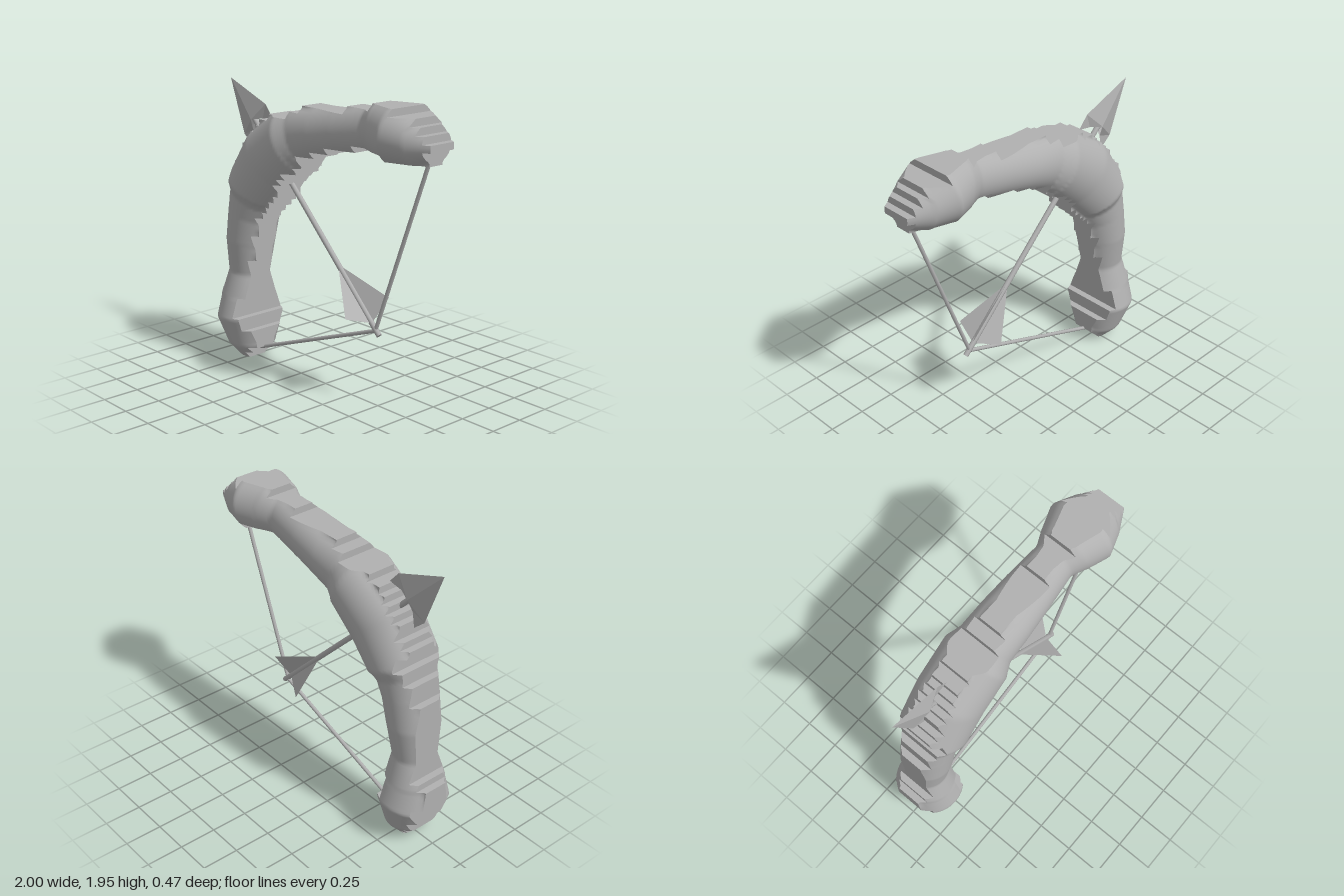
import * as THREE from 'three';

const CELL = 2 / 44, SUB = 3;

// Stepped outline of the bow: first and last cell of each row, bottom to top
const LEFT = [4, 3, 2, 2, 1, 1, 1, 0, 0, 0, 1, 2, 2, 2, 2, 2, 2, 2, 2, 2, 2, 2, 2, 3, 3, 3, 4, 4, 5, 5, 4, 5, 6, 6, 7, 8, 9, 10, 12, 17, 19, 28, 33];
const RIGHT = [6, 7, 8, 8, 8, 7, 7, 6, 6, 6, 7, 7, 7, 7, 7, 7, 8, 8, 8, 8, 9, 9, 9, 10, 11, 12, 13, 14, 14, 15, 16, 18, 19, 19, 22, 25, 30, 43, 44, 43, 42, 41, 38];
const inBow = (c, r) => (r >= 0 && r < LEFT.length && c >= LEFT[r] && c < RIGHT[r]) || (r === 36 && c >= 37 && c < 43);

// Centre line of the bow: x, y, half depth, half width
const SPINE = [
  [-0.78, 0, 0.08, 0.08], [-0.78, 0.1, 0.17, 0.13], [-0.8, 0.3, 0.235, 0.19], [-0.81, 0.45, 0.19, 0.16],
  [-0.8, 0.62, 0.14, 0.12], [-0.78, 0.85, 0.17, 0.14], [-0.74, 1.05, 0.175, 0.15], [-0.7, 1.17, 0.18, 0.17],
  [-0.67, 1.24, 0.22, 0.19], [-0.5, 1.45, 0.22, 0.21], [-0.27, 1.62, 0.22, 0.19], [-0.18, 1.66, 0.18, 0.17],
  [0, 1.7, 0.175, 0.15], [0.2, 1.74, 0.16, 0.14], [0.45, 1.78, 0.135, 0.13], [0.55, 1.79, 0.18, 0.16],
  [0.7, 1.79, 0.235, 0.17], [0.85, 1.76, 0.18, 0.13], [1, 1.75, 0.1, 0.07],
];

// Half depth of the bow at a point, rounded across its width
function depthAt(x, y) {
  let best = Infinity, depth = 0;
  for (let i = 0; i < SPINE.length - 1; i++) {
    const a = SPINE[i], b = SPINE[i + 1];
    const dx = b[0] - a[0], dy = b[1] - a[1];
    const t = THREE.MathUtils.clamp(((x - a[0]) * dx + (y - a[1]) * dy) / (dx * dx + dy * dy), 0, 1);
    const d = Math.hypot(x - a[0] - dx * t, y - a[1] - dy * t);
    if (d < best) {
      best = d;
      const half = a[2] + (b[2] - a[2]) * t, width = a[3] + (b[3] - a[3]) * t;
      depth = half * Math.sqrt(Math.max(0.2, 1 - 0.7 * (d / width) ** 2));
    }
  }
  return depth;
}

function makeGeometry(positions, index) {
  const g = new THREE.BufferGeometry();
  g.setAttribute('position', new THREE.Float32BufferAttribute(positions, 3));
  if (index) g.setIndex(index);
  g.computeVertexNormals();
  return g;
}

// Point on the fine grid, in model units
const gridPoint = (i, j, side) => {
  const x = -1 + (i * CELL) / SUB, y = (j * CELL) / SUB;
  return [x, y, side * depthAt(x, y)];
};

// Domed face of the bow, front (side 1) or back (side -1)
function bowFace(side) {
  const pos = [], index = [], ids = new Map();
  const id = (i, j) => {
    const key = i * 1000 + j;
    if (!ids.has(key)) {
      ids.set(key, pos.length / 3);
      pos.push(...gridPoint(i, j, side));
    }
    return ids.get(key);
  };
  for (let j = 0; j < LEFT.length * SUB; j++) {
    for (let i = 0; i < 44 * SUB; i++) {
      if (!inBow(Math.floor(i / SUB), Math.floor(j / SUB))) continue;
      const a = id(i, j), b = id(i + 1, j), c = id(i + 1, j + 1), d = id(i, j + 1);
      if (side > 0) index.push(a, b, c, a, c, d);
      else index.push(a, c, b, a, d, c);
    }
  }
  return makeGeometry(pos, index);
}

// Stepped walls joining the two faces
function bowWalls() {
  const pos = [];
  const wall = (i0, j0, i1, j1) => {
    for (let k = 0; k < SUB; k++) {
      const p = (n, side) => gridPoint(i0 * SUB + (i1 - i0) * n, j0 * SUB + (j1 - j0) * n, side);
      const a = p(k, 1), b = p(k, -1), c = p(k + 1, -1), d = p(k + 1, 1);
      pos.push(...a, ...b, ...c, ...a, ...c, ...d);
    }
  };
  for (let r = 0; r < LEFT.length; r++) {
    for (let c = 0; c < 44; c++) {
      if (!inBow(c, r)) continue;
      if (!inBow(c, r - 1)) wall(c, r, c + 1, r);
      if (!inBow(c + 1, r)) wall(c + 1, r, c + 1, r + 1);
      if (!inBow(c, r + 1)) wall(c + 1, r + 1, c, r + 1);
      if (!inBow(c - 1, r)) wall(c, r + 1, c, r);
    }
  }
  return makeGeometry(pos);
}

// Pointed head with swept barbs; +y runs from the tip towards the tail
function arrowheadGeometry() {
  const pos = [];
  const tip = [0, 0, 0];
  for (const s of [1, -1]) {
    const edge = [s * 0.163, 0.36, 0], barb = [s * 0.155, 0.47, 0], notch = [s * 0.07, 0.41, 0];
    for (const f of [1, -1]) {
      const ridge = [0, 0.36, f * 0.035];
      const tris = [[tip, edge, ridge], [ridge, edge, notch], [edge, barb, notch]];
      for (const [a, b, c] of tris) pos.push(...(s * f < 0 ? [a, b, c] : [a, c, b]).flat());
    }
  }
  return makeGeometry(pos);
}

export function createModel() {
  const group = new THREE.Group();
  const grey = new THREE.MeshStandardMaterial({ color: 0xb0b0b0, side: THREE.DoubleSide });
  grey.name = 'plain grey';

  const add = (name, geometry, parent = group) => {
    const mesh = new THREE.Mesh(geometry, grey);
    mesh.name = name;
    parent.add(mesh);
    return mesh;
  };
  const rod = (name, from, to, radius) => {
    const a = new THREE.Vector3(...from), b = new THREE.Vector3(...to);
    const mesh = add(name, new THREE.CylinderGeometry(radius, radius, a.distanceTo(b), 8));
    mesh.position.copy(a).lerp(b, 0.5);
    mesh.quaternion.setFromUnitVectors(new THREE.Vector3(0, 1, 0), b.sub(a).normalize());
  };

  // Bow
  add('bowFront', bowFace(1));
  add('bowBack', bowFace(-1));
  add('bowSteppedEdge', bowWalls());

  // Drawn string
  rod('lowerString', [-0.72, 0.06, 0], [0.47, 0.5, 0], 0.013);
  rod('upperString', [0.91, 1.67, 0], [0.47, 0.5, 0], 0.013);

  // Arrow
  rod('arrowShaft', [0.505, 0.475, 0], [-0.72, 1.7, 0], 0.018);
  const head = add('arrowhead', arrowheadGeometry());
  head.position.set(-0.97, 1.95, 0);
  head.rotation.z = -Math.PI * 0.75;

  // Three vanes around the shaft, local +y pointing to the tail
  const vanes = new THREE.Group();
  vanes.name = 'fletching';
  vanes.position.set(0.12, 0.86, 0);
  vanes.rotation.z = -Math.PI * 0.75;
  group.add(vanes);
  for (let i = 0; i < 3; i++) {
    const vane = add('vane', makeGeometry([0, 0, 0, 0.18, 0.375, 0, 0, 0.45, 0]), vanes);
    vane.rotation.y = -Math.PI / 2 + (i * Math.PI * 2) / 3;
  }
  return group;
}
